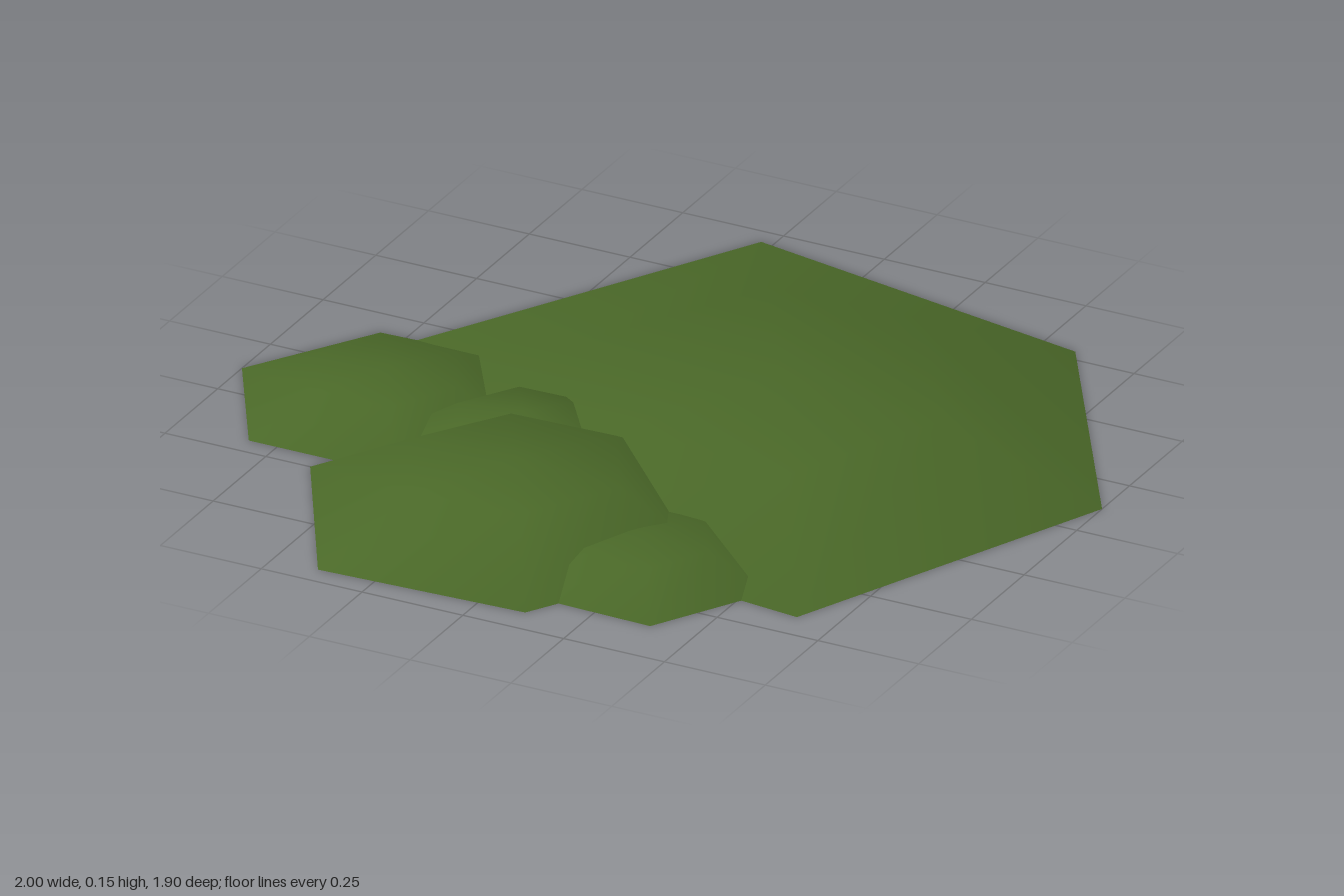
import * as THREE from 'three';

// Six-sided low dome: an apex, an inner shoulder ring and a ground ring.
// radii: ground radius at 0, 60, ... 300 degrees, turning from +x toward +z.
function domeGeometry(height, radii, shoulder, shoulderHeight) {
  const n = radii.length;
  const positions = [0, height, 0];
  for (const [scale, y] of [[shoulder, shoulderHeight], [1, 0]]) {
    radii.forEach((r, i) => {
      const a = (i / n) * Math.PI * 2;
      positions.push(Math.cos(a) * r * scale, y, Math.sin(a) * r * scale);
    });
  }
  const index = [];
  for (let i = 0; i < n; i++) {
    const a = 1 + i, b = 1 + ((i + 1) % n);
    index.push(0, b, a);
    index.push(a, b, b + n, a, b + n, a + n);
  }
  const geometry = new THREE.BufferGeometry();
  geometry.setAttribute('position', new THREE.Float32BufferAttribute(positions, 3));
  geometry.setIndex(index);
  geometry.computeVertexNormals();
  return geometry;
}

export function createModel() {
  const model = new THREE.Group();
  model.name = 'mossPatch';
  const moss = new THREE.MeshStandardMaterial({ color: 0x4a6828, side: THREE.DoubleSide });
  moss.name = 'moss green';

  const mounds = [
    { name: 'mainMound', at: [0.2, -0.12], height: 0.148, shoulder: 0.5, shoulderHeight: 0.125,
      radii: [0.8, 0.91, 0.8, 0.95, 0.96, 0.77] },
    { name: 'frontMound', at: [-0.13, 0.5], height: 0.137, shoulder: 0.52, shoulderHeight: 0.124,
      radii: [0.5, 0.49, 0.515, 0.51, 0.48, 0.5] },
    { name: 'sideMound', at: [-0.64, 0.135], height: 0.088, shoulder: 0.5, shoulderHeight: 0.075,
      radii: [0.35, 0.36, 0.36, 0.36, 0.345, 0.36] },
    { name: 'smallFrontMound', at: [0.23, 0.58], height: 0.069, shoulder: 0.5, shoulderHeight: 0.061,
      radii: [0.32, 0.32, 0.31, 0.31, 0.31, 0.32] },
    { name: 'smallMiddleMound', at: [-0.25, 0.24], height: 0.112, shoulder: 0.52, shoulderHeight: 0.095,
      radii: [0.3, 0.31, 0.3, 0.31, 0.3, 0.31] },
  ];
  for (const m of mounds) {
    const mesh = new THREE.Mesh(domeGeometry(m.height, m.radii, m.shoulder, m.shoulderHeight), moss);
    mesh.name = m.name;
    mesh.position.set(m.at[0], 0, m.at[1]);
    model.add(mesh);
  }
  return model;
}
